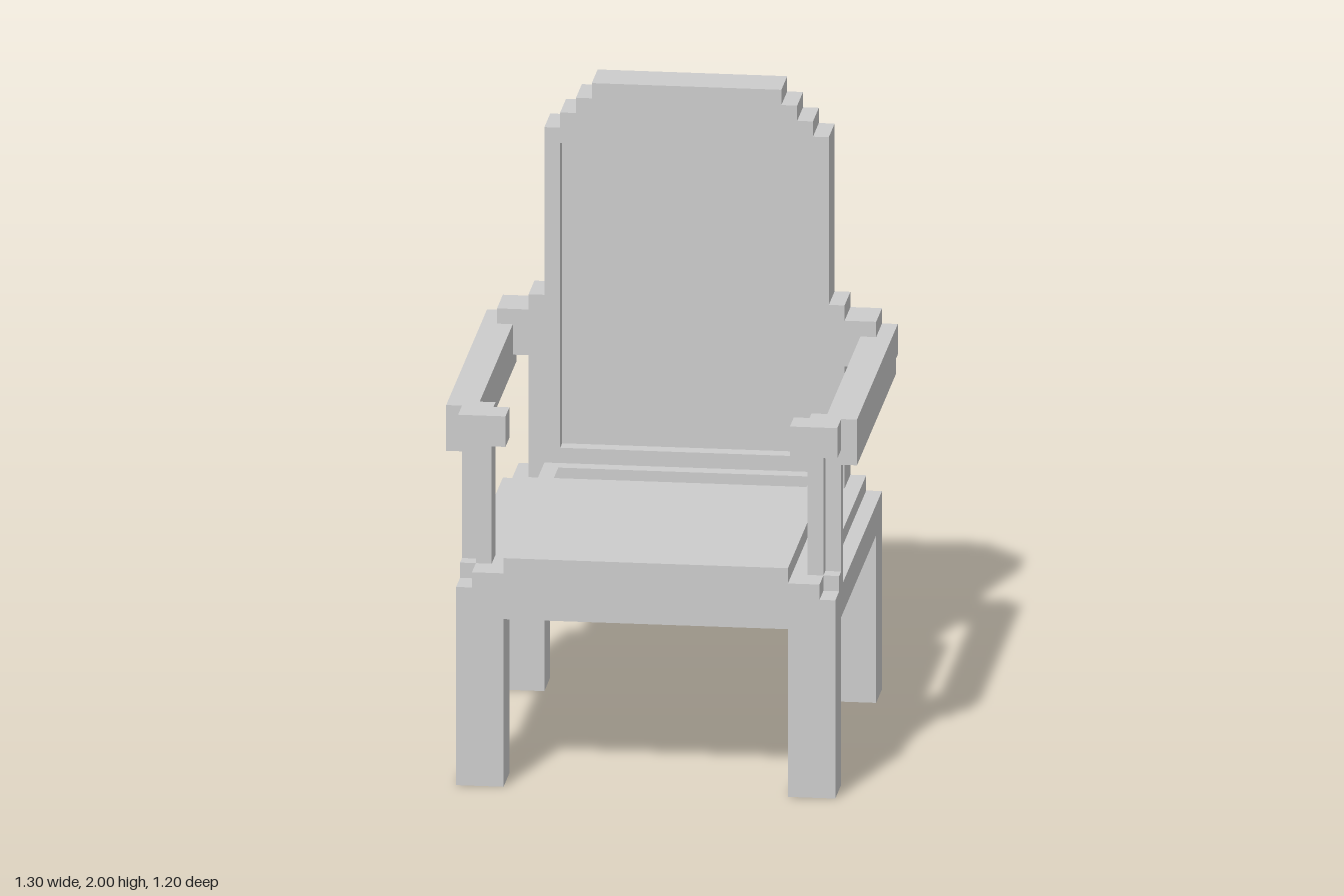
import * as THREE from 'three';

const material = new THREE.MeshStandardMaterial({ color: 0xcccccc, flatShading: true });

function add(parent, name, geometry) {
  const mesh = new THREE.Mesh(geometry, material);
  mesh.name = name;
  parent.add(mesh);
  return mesh;
}

// Box given by its lower and upper limits on each axis
function block(parent, name, [x0, x1], [y0, y1], [z0, z1]) {
  const mesh = add(parent, name, new THREE.BoxGeometry(x1 - x0, y1 - y0, z1 - z0));
  mesh.position.set((x0 + x1) / 2, (y0 + y1) / 2, (z0 + z1) / 2);
  return mesh;
}

// Block on both sides of the chair; x limits are for the +x side
function pair(parent, name, [x0, x1], y, z) {
  block(parent, name + 'Left', [x0, x1], y, z);
  block(parent, name + 'Right', [-x1, -x0], y, z);
}

function rectPath(x0, y0, x1, y1) {
  return new THREE.Path([[x0, y0], [x0, y1], [x1, y1], [x1, y0]].map(p => new THREE.Vector2(...p)));
}

function extrude(shape, depth) {
  return new THREE.ExtrudeGeometry(shape, { depth, bevelEnabled: false });
}

// Stepped outline of the back, mirrored from its +x half
function backShape() {
  const half = [
    [0.5, 0.7], [0.5, 1.1], [0.6, 1.1], [0.6, 1.25], [0.5, 1.25], [0.5, 1.3], [0.45, 1.3],
    [0.45, 1.85], [0.4, 1.85], [0.4, 1.9], [0.35, 1.9], [0.35, 1.95], [0.3, 1.95], [0.3, 2],
  ];
  const mirrored = half.map(([x, y]) => [-x, y]).reverse();
  return new THREE.Shape([...half, ...mirrored].map(p => new THREE.Vector2(...p)));
}

export function createModel() {
  const chair = new THREE.Group();
  chair.name = 'armchair';

  // Four square legs
  for (const [name, z] of [['frontLeg', [0.45, 0.6]], ['backLeg', [-0.6, -0.45]]]) {
    pair(chair, name, [0.45, 0.6], [0, 0.55], z);
  }

  // Seat: two stepped slabs and a raised rim around the sunken panel
  const seat = new THREE.Group();
  seat.name = 'seat';
  chair.add(seat);
  block(seat, 'seatBase', [-0.6, 0.6], [0.55, 0.65], [-0.6, 0.6]);
  block(seat, 'seatStep', [-0.55, 0.55], [0.65, 0.7], [-0.6, 0.6]);
  const rimShape = new THREE.Shape(rectPath(-0.45, -0.6, 0.45, 0.45).getPoints());
  rimShape.holes.push(rectPath(-0.4, -0.55, 0.4, 0.4));
  const rim = add(seat, 'seatRim', extrude(rimShape, 0.05));
  rim.rotation.x = -Math.PI / 2;
  rim.position.y = 0.7;

  // Back: solid panel with a frame in front of it
  const back = new THREE.Group();
  back.name = 'back';
  chair.add(back);
  add(back, 'backPanel', extrude(backShape(), 0.1)).position.z = -0.6;
  const frameShape = backShape();
  frameShape.holes.push(rectPath(-0.4, 0.8, 0.4, 1.8));
  add(back, 'backFrame', extrude(frameShape, 0.05)).position.z = -0.5;

  // Arms: rail with a notched rear end, cap and post
  const arms = new THREE.Group();
  arms.name = 'arms';
  chair.add(arms);
  pair(arms, 'armRail', [0.55, 0.65], [1.05, 1.2], [-0.55, 0.45]);
  pair(arms, 'armRailEnd', [0.6, 0.65], [1.1, 1.2], [-0.6, -0.55]);
  pair(arms, 'armCapFront', [0.45, 0.6], [1.1, 1.2], [0.45, 0.55]);
  pair(arms, 'armCapRear', [0.5, 0.55], [1.1, 1.2], [0.4, 0.45]);
  pair(arms, 'armPostFoot', [0.55, 0.6], [0.65, 0.7], [0.4, 0.5]);
  pair(arms, 'armPostRear', [0.5, 0.6], [0.7, 1.1], [0.4, 0.45]);
  pair(arms, 'armPostFront', [0.5, 0.55], [0.7, 1.1], [0.45, 0.5]);

  return chair;
}
